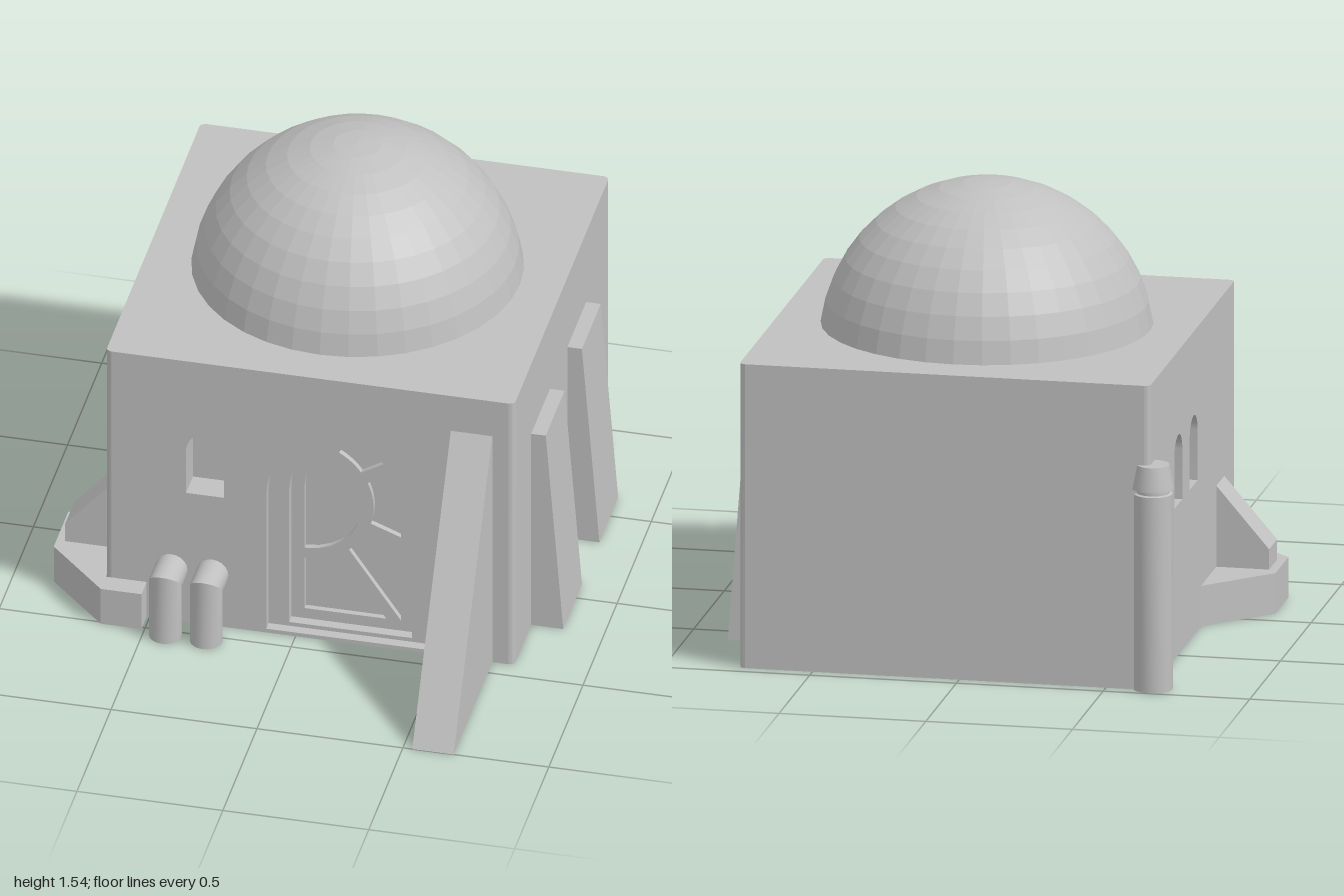
import * as THREE from 'three';
import { mergeGeometries, toCreasedNormals } from 'three/addons/utils/BufferGeometryUtils.js';

const V = (x, y) => new THREE.Vector2(x, y);
const rad = THREE.MathUtils.degToRad;

// points along a circle, angles in degrees
function arc(cx, cy, r, a0, a1, n = 12) {
  return Array.from({ length: n + 1 }, (_, i) => {
    const a = rad(a0 + (a1 - a0) * i / n);
    return V(cx + r * Math.cos(a), cy + r * Math.sin(a));
  });
}

// round-headed opening
const arch = (cx, r, y0, spring) =>
  [V(cx - r, y0), V(cx + r, y0), ...arc(cx, spring, r, 0, 180, 16)];

// flat face with holes at depth z
function plate(pts, z = 0, holes = []) {
  const shape = new THREE.Shape(pts);
  shape.holes = holes.map(h => new THREE.Path(h));
  return new THREE.ShapeGeometry(shape).toNonIndexed().translate(0, 0, z);
}

// strip of side walls along a path, from z0 to z1
function skirt(pts, z0, z1, closed = true) {
  const pos = [], uv = [];
  for (let i = 0; i < pts.length - (closed ? 0 : 1); i++) {
    const a = pts[i], b = pts[(i + 1) % pts.length];
    if (a.distanceTo(b) < 1e-5) continue;
    pos.push(a.x, a.y, z0, b.x, b.y, z0, b.x, b.y, z1, a.x, a.y, z0, b.x, b.y, z1, a.x, a.y, z1);
    uv.push(0, 0, 1, 0, 1, 1, 0, 0, 1, 1, 0, 1);
  }
  const g = new THREE.BufferGeometry();
  g.setAttribute('position', new THREE.Float32BufferAttribute(pos, 3));
  g.setAttribute('uv', new THREE.Float32BufferAttribute(uv, 2));
  g.computeVertexNormals();
  return g;
}

// buttress: the bottom and the side against the wall stay open
const buttressGeometry = (pts, z0, z1) =>
  mergeGeometries([skirt(pts.slice(0, -1), z0, z1, false), plate(pts, z0), plate(pts, z1)]);

export function createModel() {
  const group = new THREE.Group();
  const plaster = new THREE.MeshStandardMaterial({ color: 0xc0c0c0, side: THREE.DoubleSide });
  const add = (name, geo, parent = group) => {
    const mesh = new THREE.Mesh(toCreasedNormals(geo, 0.6), plaster);
    mesh.name = name;
    parent.add(mesh);
    return mesh;
  };

  const X0 = -0.65, X1 = 0.75, Z0 = -0.955, Z1 = 0.435, H = 1.05, R = 0.02;
  const rect = (a, b) => [V(a, 0), V(b, 0), V(b, H), V(a, H)];

  // walls, with openings cut in the front and left-hand ones
  const frontWindow = arch(-0.31, 0.065, 0.52, 0.695);
  const sideWindows = [-0.49, -0.24].map(z => arch(z, 0.065, 0.52, 0.695));
  const doorway = arch(0.18, 0.28, 0.015, 0.56);
  add('frontWall', plate(rect(X0 + R, X1 - R), 0, [frontWindow, doorway])).position.z = Z1;
  add('backWall', plate(rect(X0 + R, X1 - R))).position.z = Z0;

  const windowNiche = pts => mergeGeometries([skirt(pts, 0, -0.1), plate(pts, -0.1)]);
  add('frontWindow', windowNiche(frontWindow)).position.z = Z1;

  for (const [name, x, holes] of [['windowWall', X0, sideWindows], ['buttressWall', X1, []]]) {
    const side = new THREE.Group();
    side.name = name + 'Group';
    side.rotation.y = -Math.PI / 2;
    side.position.x = x;
    group.add(side);
    add(name, plate(rect(Z0 + R, Z1 - R), 0, holes), side);
    holes.forEach(h => add('sideWindow', windowNiche(h), side));
  }

  // rounded corners and roof
  const corners = [
    arc(X1 - R, Z1 - R, R, 0, 90, 4), arc(X0 + R, Z1 - R, R, 90, 180, 4),
    arc(X0 + R, Z0 + R, R, 180, 270, 4), arc(X1 - R, Z0 + R, R, 270, 360, 4)];
  const laidFlat = (name, geo, y) => {
    const m = add(name, geo);
    m.rotation.x = Math.PI / 2;
    m.position.y = y;
  };
  corners.forEach(c => laidFlat('wallCorner', skirt(c, 0, H, false), H));
  laidFlat('roof', plate(corners.flat()), H);

  // faceted dome
  const dome = new THREE.SphereGeometry(0.56, 36, 10, 0, Math.PI * 2, 0, Math.acos(0.07 / 0.56)).toNonIndexed();
  dome.computeVertexNormals();
  const domeMesh = new THREE.Mesh(dome, plaster);
  domeMesh.name = 'dome';
  domeMesh.position.set(0.05, 0.98, -0.26);
  group.add(domeMesh);

  // stepped door frame and door with sunken panels
  const leaf = arch(0.18, 0.21, 0.03, 0.565);
  const hub = (a0, a1, r = 0.236) => arc(0.015, 0.51, r, a0, a1);
  const head = (a0, a1) => arc(0.18, 0.565, 0.165, a0, a1);
  const panels = [
    [...hub(-90, 68, 0.197), ...head(125, 180)],
    [...hub(60, 35), ...head(50, 105)],
    [...hub(24, -16), V(0.345, 0.405), ...head(0, 38)],
    [...hub(-31, -50), V(0.345, 0.07), V(0.345, 0.36)],
    [...hub(-60, -90), V(0.015, 0.07), V(0.295, 0.07)]];
  const door = new THREE.Group();
  door.name = 'door';
  door.position.z = Z1;
  group.add(door);
  add('doorFrame', mergeGeometries([
    skirt(doorway, 0, -0.035), plate(doorway, -0.035, [leaf]), skirt(leaf, -0.035, -0.07)]), door);
  add('doorLeaf', plate(leaf, -0.07, panels), door);
  panels.forEach(p => add('doorPanel', mergeGeometries([skirt(p, -0.07, -0.09), plate(p, -0.09)]), door));

  // leaning buttresses
  const sideProfile = [V(0.86, 0), V(0.8, 0.77), V(X1, 0.77), V(X1, 0)];
  for (const z of [-0.615, -0.085]) add('sideButtress', buttressGeometry(sideProfile, z, z + 0.275));
  add('smallButtress', buttressGeometry(
    [V(-0.83, 0), V(-0.83, 0.21), V(X0, 0.42), V(X0, 0)], 0.13, 0.26));
  const front = add('frontButtress', buttressGeometry(
    [V(1, 0), V(Z1, 0.91), V(Z1, 0)], 0, 0.142));
  front.rotation.y = -Math.PI / 2;
  front.position.x = 0.674;

  // low platform wrapped around the front corner
  const rim = [V(X0, -0.12), V(-0.86, 0.09), V(-0.86, 0.3), V(X0, 0.51), V(-0.51, 0.51), V(-0.51, Z1)];
  laidFlat('platform', mergeGeometries([
    skirt(rim, 0, 0.14, false), plate([...rim, V(X0, Z1)])]), 0.14);

  // mitred elbow pipes running into the front wall
  for (const x of [-0.425, -0.285]) {
    const r = 0.055, cy = 0.21, cz = 0.525;
    const pipe = new THREE.CylinderGeometry(r, r, 2, 20, 2, true);
    const p = pipe.attributes.position;
    for (let i = 0; i < p.count; i++) {
      const level = Math.round(p.getY(i)), px = p.getX(i), pz = p.getZ(i);
      if (level < 0) p.setXYZ(i, px, 0, cz + pz);
      else if (level === 0) p.setXYZ(i, px, cy + pz, cz + pz);
      else p.setXYZ(i, px, cy + pz, Z1 - 0.03);
    }
    add('elbowPipe', pipe).position.x = x;
  }

  // capped post at the back corner
  const post = new THREE.LatheGeometry([
    V(0, 0), V(0.066, 0), V(0.066, 0.675), V(0.056, 0.678), V(0.056, 0.69),
    V(0.07, 0.692), V(0.068, 0.705), V(0.055, 0.775), V(0, 0.775)], 24);
  add('cornerPost', post).position.set(-0.656, 0, -0.931);

  return group;
}
